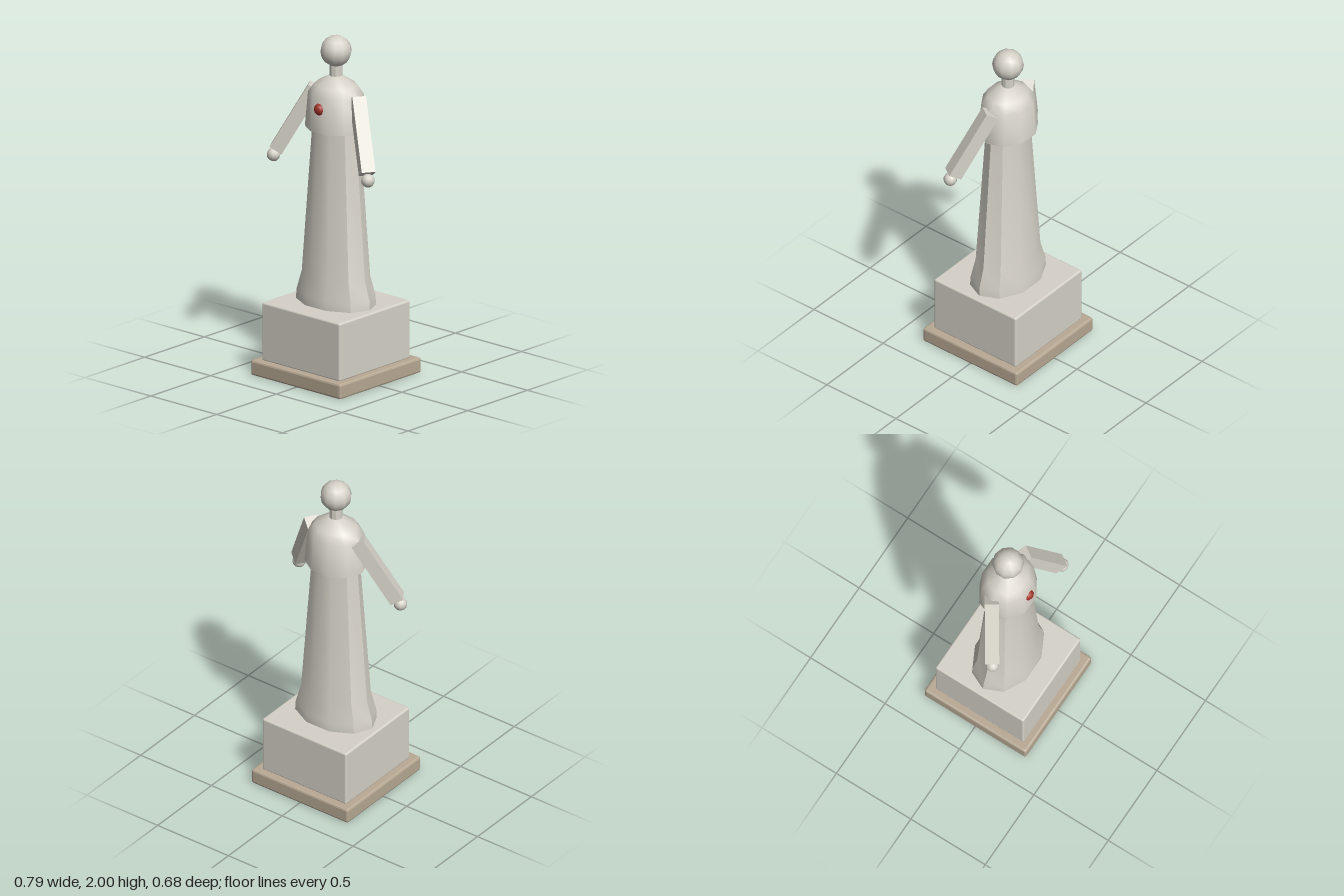
import * as THREE from 'three';
import { toCreasedNormals } from 'three/addons/utils/BufferGeometryUtils.js';
import { RoundedBoxGeometry } from 'three/addons/geometries/RoundedBoxGeometry.js';

const stone = new THREE.MeshStandardMaterial({ name: 'pale stone', color: 0xd6d2c8 });
const sandstone = new THREE.MeshStandardMaterial({ name: 'tan stone', color: 0xb8a994 });
const red = new THREE.MeshStandardMaterial({ name: 'red', color: 0xa23429 });

function part(parent, name, geometry, material, x = 0, y = 0, z = 0) {
  const mesh = new THREE.Mesh(geometry, material);
  mesh.name = name;
  mesh.position.set(x, y, z);
  parent.add(mesh);
  return mesh;
}

// Ten-sided lathe flattened to an oval, with a vertex on each side.
function ovalLathe(profile, depth, crease) {
  const points = profile.map(([r, y]) => new THREE.Vector2(r, y));
  const geometry = new THREE.LatheGeometry(points, 10, Math.PI / 2);
  geometry.scale(1, 1, depth);
  return toCreasedNormals(geometry, THREE.MathUtils.degToRad(crease));
}

// Square block with slightly bevelled edges.
function block(width, height, segments, bevel) {
  const geometry = new RoundedBoxGeometry(width, height, width, segments, bevel);
  if (segments === 1) geometry.computeVertexNormals();
  return geometry;
}

export function createModel() {
  const model = new THREE.Group();
  model.name = 'statue';

  // Pedestal
  part(model, 'baseSlab', block(0.682, 0.09, 1, 0.012), sandstone, 0, 0.045);
  part(model, 'plinth', block(0.594, 0.345, 2, 0.012), stone, 0, 0.2575);

  // Flared robe and shoulder cape
  part(model, 'robe', ovalLathe([
    [0, 0.425], [0.257, 0.425], [0.253, 0.485], [0.219, 0.6], [0.148, 1.52], [0, 1.52],
  ], 0.705, 35), stone);
  part(model, 'cape', ovalLathe([
    [0, 1.46], [0.186, 1.46], [0.167, 1.665], [0.13, 1.715], [0.04, 1.768], [0, 1.768],
  ], 0.87, 48), stone);

  // Neck and head
  part(model, 'neck', toCreasedNormals(new THREE.CylinderGeometry(0.037, 0.037, 0.1, 10), 0.5),
    stone, 0, 1.79);
  part(model, 'head', new THREE.SphereGeometry(0.09, 10, 8).rotateY(Math.PI / 2), stone, 0, 1.911);

  // Red heart on the chest
  part(model, 'heart', new THREE.SphereGeometry(0.037, 8, 6), red, 0, 1.596, 0.131);

  // Square arms reaching down, outward and forward
  for (const side of [1, -1]) {
    const arm = new THREE.Group();
    arm.name = side > 0 ? 'leftArm' : 'rightArm';
    model.add(arm);

    const shoulder = new THREE.Vector3(0.161 * side, 1.665, -0.004);
    const wrist = new THREE.Vector3(0.344 * side, 1.285, 0.118);
    const up = shoulder.clone().sub(wrist);
    const length = up.length();
    up.normalize();
    const across = new THREE.Vector3(0, 1, 0).cross(up).normalize();
    const outward = across.clone().cross(up);

    const sleeve = part(arm, 'sleeve', new THREE.BoxGeometry(0.08, length, 0.08), stone);
    sleeve.position.copy(shoulder).add(wrist).multiplyScalar(0.5);
    sleeve.quaternion.setFromRotationMatrix(new THREE.Matrix4().makeBasis(across, up, outward));

    part(arm, 'hand', new THREE.SphereGeometry(0.039, 10, 8).rotateY(Math.PI / 2),
      stone, 0.358 * side, 1.251, 0.128);
  }
  return model;
}
